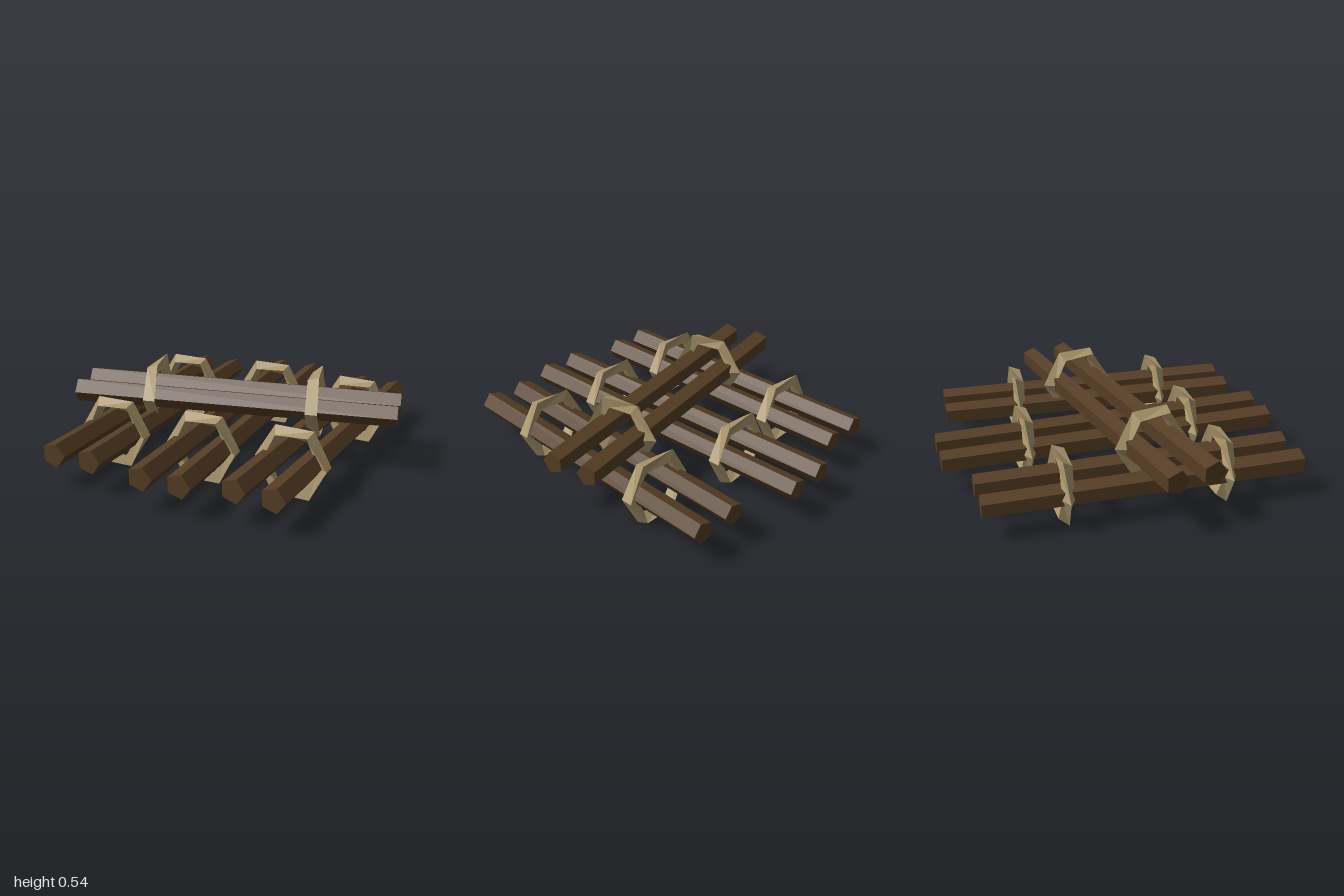
import * as THREE from 'three';

const wood = new THREE.MeshStandardMaterial({ color: 0x553d24 });
wood.name = 'dark wood';
const rope = new THREE.MeshStandardMaterial({ color: 0xa8946a });
rope.name = 'tan rope';

// Gives every face its own flat normal
function faceted(geometry) {
  const flat = geometry.index ? geometry.toNonIndexed() : geometry;
  flat.computeVertexNormals();
  return flat;
}

// Tapered five-sided log along z, thick end to the front, one ridge towards +x
function logGeometry(length) {
  const g = new THREE.CylinderGeometry(0.0715, 0.0635, length, 5);
  g.rotateY(Math.PI / 2);
  g.rotateX(Math.PI / 2);
  return faceted(g);
}

// Six-sided loop of triangular cord that twists a third of a turn on its way round
function lashingGeometry(radius, cord) {
  const positions = [];
  const corner = (i, k) => {
    const u = (i * Math.PI) / 3;
    const a = THREE.MathUtils.degToRad(60 + 20 * i + 120 * k);
    const out = radius + cord * Math.cos(a);
    return [out * Math.cos(u), out * Math.sin(u), cord * Math.sin(a)];
  };
  for (let i = 0; i < 6; i++) {
    for (let k = 0; k < 3; k++) {
      const a = corner(i, k), b = corner(i + 1, k);
      const c = corner(i + 1, k + 1), d = corner(i, k + 1);
      positions.push(...a, ...b, ...c, ...a, ...c, ...d);
    }
  }
  const g = new THREE.BufferGeometry();
  g.setAttribute('position', new THREE.Float32BufferAttribute(positions, 3));
  return faceted(g);
}

// Each bundle: two logs tied by two lashings, [x, z] centres
const bundles = [
  { name: 'rightBundle', yaw: -0.0206, length: 1.8, y: 0.193,
    logs: [[-0.668, 0.03], [-0.446, 0.03]], ties: [[-0.545, -0.415], [-0.562, 0.488]] },
  { name: 'middleBundle', yaw: 0, length: 2, y: 0.193,
    logs: [[-0.1145, 0], [0.108, 0]], ties: [[0, -0.502], [0, 0.495]] },
  { name: 'leftBundle', yaw: -0.067, length: 1.825, y: 0.193,
    logs: [[0.439, 0.025], [0.659, 0.04]], ties: [[0.588, -0.423], [0.525, 0.485]] },
  { name: 'crossBundle', yaw: -1.394, length: 1.9, y: 0.34,
    logs: [[-0.022, -0.079], [0.015, 0.138]], ties: [[-0.475, 0.115], [0.464, -0.052]] },
];

export function createModel() {
  const model = new THREE.Group();
  model.name = 'lashedLogs';
  const tie = lashingGeometry(0.186, 0.041);

  for (const b of bundles) {
    const group = new THREE.Group();
    group.name = b.name;
    const place = (name, geometry, material, [x, z], y) => {
      const mesh = new THREE.Mesh(geometry, material);
      mesh.name = name;
      mesh.position.set(x, y, z);
      mesh.rotation.y = b.yaw;
      group.add(mesh);
    };
    const log = logGeometry(b.length);
    b.logs.forEach((p) => place('log', log, wood, p, b.y));
    b.ties.forEach((p) => place('lashing', tie, rope, p, b.y - 0.004));
    model.add(group);
  }
  return model;
}
